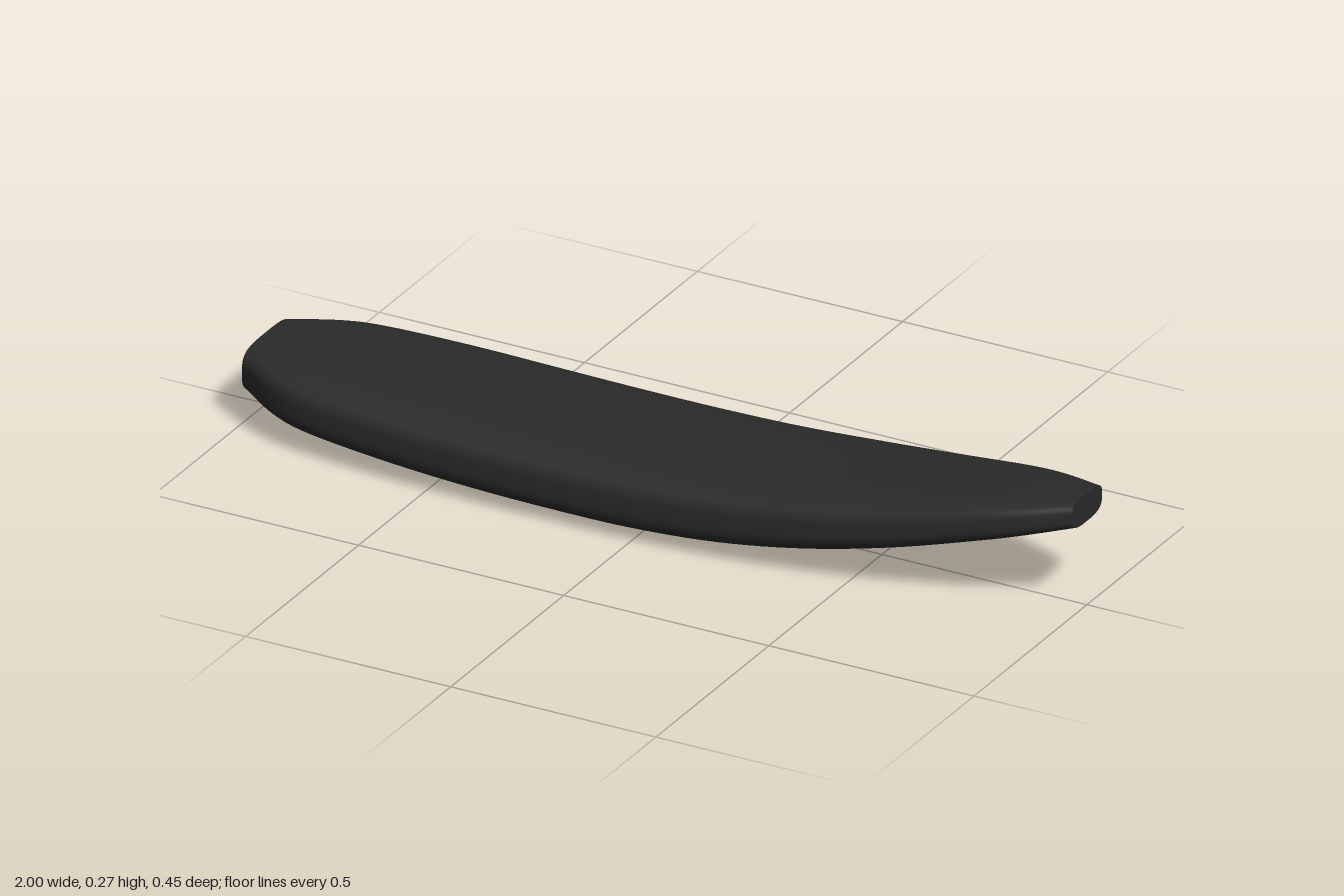
import * as THREE from 'three';

// Stations along the hull: x, half width, bottom, top
const STATIONS = [
  [-1, 0.108, 0.063, 0.173],
  [-0.9, 0.168, 0.043, 0.175],
  [-0.8, 0.198, 0.031, 0.174],
  [-0.6, 0.216, 0.017, 0.170],
  [-0.4, 0.222, 0.007, 0.165],
  [-0.2, 0.222, 0.002, 0.163],
  [0, 0.220, 0.003, 0.164],
  [0.2, 0.212, 0.016, 0.172],
  [0.4, 0.197, 0.045, 0.190],
  [0.6, 0.171, 0.088, 0.215],
  [0.8, 0.135, 0.143, 0.245],
  [0.9, 0.108, 0.172, 0.257],
  [1, 0.067, 0.201, 0.267],
];
const SIDES = 64;
const STEPS = 72;

// Rounded section: flatter deck above, softer belly below
function ringAt(x, w, bottom, top) {
  const mid = (bottom + top) / 2, half = (top - bottom) / 2;
  const pts = [];
  for (let j = 0; j < SIDES; j++) {
    const a = (j / SIDES) * Math.PI * 2;
    const c = Math.cos(a), s = Math.sin(a);
    const p = 2 / (s > 0 ? 3.8 : 3);
    pts.push([
      x,
      mid + half * Math.sign(s) * Math.abs(s) ** p,
      w * Math.sign(c) * Math.abs(c) ** p,
    ]);
  }
  return pts;
}

function makeGeometry(points, index) {
  const g = new THREE.BufferGeometry();
  g.setAttribute('position', new THREE.Float32BufferAttribute(points.flat(), 3));
  g.setIndex(index);
  g.computeVertexNormals();
  return g;
}

// Flat end closing a ring
function capGeometry(ring, facingPlusX) {
  const ys = ring.map((p) => p[1]);
  const centre = [ring[0][0], (Math.min(...ys) + Math.max(...ys)) / 2, 0];
  const index = [];
  for (let j = 0; j < SIDES; j++) {
    const a = j + 1, b = ((j + 1) % SIDES) + 1;
    index.push(0, ...(facingPlusX ? [b, a] : [a, b]));
  }
  return makeGeometry([centre, ...ring], index);
}

export function createModel() {
  const model = new THREE.Group();
  model.name = 'board';
  const charcoal = new THREE.MeshStandardMaterial({ color: 0x2b2b2b });
  charcoal.name = 'charcoal';

  // Smooth curves through the stations
  const curve = (k) => new THREE.CatmullRomCurve3(
    STATIONS.map((s) => new THREE.Vector3(s[0], s[1], s[k])), false, 'catmullrom', 0.5);
  const lower = curve(2), upper = curve(3);
  const rings = [];
  for (let i = 0; i <= STEPS; i++) {
    const lo = lower.getPoint(i / STEPS), up = upper.getPoint(i / STEPS);
    rings.push(ringAt(lo.x, lo.y, lo.z, up.z));
  }

  // Lofted skin
  const index = [];
  for (let i = 0; i < STEPS; i++) {
    for (let j = 0; j < SIDES; j++) {
      const a = i * SIDES + j, b = i * SIDES + ((j + 1) % SIDES);
      index.push(a, a + SIDES, b, b, a + SIDES, b + SIDES);
    }
  }
  const add = (name, geometry) => {
    const mesh = new THREE.Mesh(geometry, charcoal);
    mesh.name = name;
    model.add(mesh);
  };
  add('hull', makeGeometry(rings.flat(), index));
  add('tailEnd', capGeometry(rings[0], false));
  add('noseEnd', capGeometry(rings[STEPS], true));
  return model;
}
